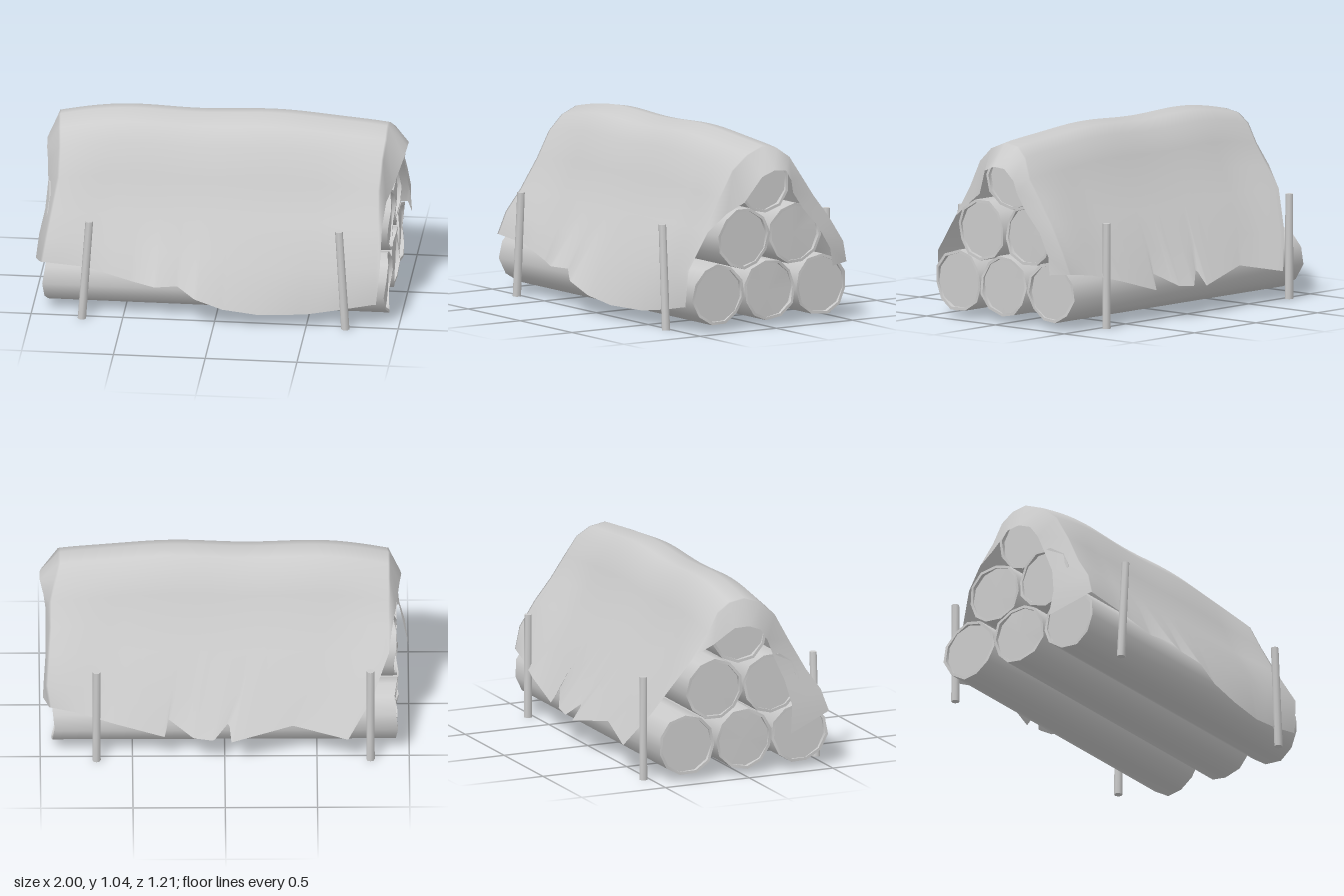
import * as THREE from 'three';
import { toCreasedNormals } from 'three/addons/utils/BufferGeometryUtils.js';

const grey = new THREE.MeshStandardMaterial({ color: 0xcccccc });
const cloth = new THREE.MeshStandardMaterial({ color: 0xcccccc, side: THREE.DoubleSide });
const { lerp, smoothstep } = THREE.MathUtils;

// Piecewise linear lookup in a list of [x, y, z] points sorted by x
function along(points, x) {
  if (x <= points[0][0]) return points[0];
  for (let i = 1; i < points.length; i++) {
    const a = points[i - 1], b = points[i];
    if (x <= b[0]) {
      const t = (x - a[0]) / (b[0] - a[0]);
      return a.map((v, k) => lerp(v, b[k], t));
    }
  }
  return points[points.length - 1];
}

// Log with a raised bark rim around a slightly sunken cut face
function makeLog(z, y, L, turn) {
  const R = 0.168, r = 0.152, d = 0.015;
  const profile = [[0, -L + d], [r, -L + d], [r, -L], [R, -L], [R, L], [r, L], [r, L - d], [0, L - d]]
    .map(([a, b]) => new THREE.Vector2(a, b));
  const geo = new THREE.LatheGeometry(profile, 11);
  const p = geo.attributes.position;
  for (let i = 0; i < p.count; i++) {
    // ragged rim
    const a = Math.atan2(p.getZ(i), p.getX(i));
    if (Math.abs(p.getY(i)) > L - 0.001) p.setY(i, p.getY(i) + 0.01 * Math.sin(3 * a + turn * 2));
  }
  geo.rotateY(turn);
  geo.rotateZ(-Math.PI / 2);
  const log = new THREE.Mesh(toCreasedNormals(geo, 0.8), grey);
  log.position.set(0, y, z);
  log.name = 'log';
  return log;
}

function makeStake(xBase, xTop, z) {
  const geo = new THREE.CylinderGeometry(0.021, 0.023, 0.575, 8);
  const p = geo.attributes.position;
  for (let i = 0; i < p.count; i++) {
    p.setX(i, p.getX(i) + lerp(xBase, xTop, p.getY(i) / 0.575 + 0.5));
  }
  const stake = new THREE.Mesh(toCreasedNormals(geo, 0.9), grey);
  stake.position.set(0, 0.2875, z);
  stake.name = 'stake';
  return stake;
}

// Hanging hems of the cover, with tears in the back one
const frontHem = [
  [-0.95, 0.31, 0.5], [-0.7, 0.29, 0.5], [-0.45, 0.23, 0.53], [-0.32, 0.22, 0.58], [-0.2, 0.22, 0.55],
  [-0.1, 0.17, 0.605], [0.05, 0.11, 0.59], [0.25, 0.08, 0.575], [0.5, 0.08, 0.54], [0.7, 0.11, 0.52], [0.9, 0.15, 0.515],
];
const backHem = [
  [-0.67, 0.17, -0.6], [-0.37, 0.23, -0.55], [-0.03, 0.16, -0.61], [-0.025, 0.25, -0.54], [0.06, 0.17, -0.605],
  [0.17, 0.18, -0.595], [0.31, 0.26, -0.52], [0.32, 0.17, -0.57], [0.6, 0.25, -0.555], [0.8, 0.3, -0.52], [0.97, 0.32, -0.49],
];
// Cover cross-section over the stack as [z, y]
const ridge = [
  [0.38, 0.55], [0.29, 0.74], [0.21, 0.905], [0.12, 0.99], [0.02, 1.03],
  [-0.07, 1.015], [-0.14, 0.965], [-0.2, 0.85], [-0.28, 0.715], [-0.37, 0.58],
];
// Per row, front hem to back hem: x of the last full column, x of the
// outer edge, and how far that edge curls in (z) and drops (y)
const ends = {
  left: {
    inner: [0.87, 0.88, 0.88, 0.88, 0.89, 0.9, 0.9, 0.9, 0.92, 0.95, 0.95, 0.96, 0.97, 0.95],
    outer: [0.88, 0.9, 0.9, 0.91, 0.94, 0.99, 1, 1, 0.98, 0.97, 0.97, 0.97, 0.98, 0.985],
    curl: [0, 0, 0, 0.1, 0.2, 0.28, 0.3, 0.1, 0.2, 0.35, 0.3, 0.2, 0.2, 0.23],
    drop: [0, 0, 0, 0.08, 0.17, 0.11, 0.12, 0.11, 0.12, 0.08, 0.06, 0.05, 0.03, 0.01],
  },
  right: {
    inner: [-0.95, -0.93, -0.91, -0.88, -0.88, -0.89, -0.9, -0.9, -0.9, -0.9, -0.89, -0.87, -0.78, -0.66],
    outer: [-1, -0.98, -0.95, -0.94, -0.945, -0.955, -0.96, -0.95, -0.94, -0.93, -0.91, -0.89, -0.8, -0.67],
    curl: [0.5, 0.42, 0.38, 0.4, 0.35, 0.25, 0.1, 0.1, 0.15, 0.1, 0, 0, 0, 0],
    drop: [0.09, 0.06, 0.04, 0.07, 0.12, 0.13, 0.14, 0.13, 0.12, 0.06, 0, 0, 0, 0],
  },
};

function coverPoint(row, x) {
  const last = ridge.length + 3;
  // the sheet hugs the logs in the middle and flares at the ends
  const hug = 1 - smoothstep(Math.abs(x), 0.55, 0.9);
  if (row < 2 || row > last - 2) {
    const hem = row < 2 ? frontHem : backHem;
    if (row === 0 || row === last) return [x, ...along(hem, x).slice(1)];
    // belly halfway down, lying along the slope of the stack
    const y = (along(hem, x - 0.15)[1] + along(hem, x + 0.15)[1]) / 4 + 0.28;
    const z = 0.375 - 0.025 * hug + (0.58 - y) * 0.573;
    return [x, y, row < 2 ? z : -z];
  }
  const [z, y] = ridge[row - 2];
  // gentle sag between high spots, sloping off towards both ends
  const wave = 0.007 * Math.cos((x - 0.27) * 7.8) - 0.07 * x ** 4;
  const pull = y < 0.8 ? 0.022 * hug * Math.sign(z) : 0;
  return [x, y + wave * smoothstep(y, 0.5, 1), z - pull];
}

function makeCover() {
  const rows = ridge.length + 4, cols = 160;
  const pos = [], index = [];
  for (let c = -1; c <= cols + 1; c++) {
    for (let r = 0; r < rows; r++) {
      const t = Math.min(1, Math.max(0, c / cols));
      const p = coverPoint(r, lerp(ends.right.inner[r], ends.left.inner[r], t));
      if (c < 0 || c > cols) {
        const e = c < 0 ? ends.right : ends.left;
        p[0] = e.outer[r];
        p[1] -= e.drop[r];
        p[2] *= 1 - e.curl[r];
      }
      pos.push(...p);
    }
  }
  for (let c = 0; c < cols + 2; c++) {
    for (let r = 0; r < rows - 1; r++) {
      const a = c * rows + r, b = a + rows;
      index.push(a, b, a + 1, b, b + 1, a + 1);
    }
  }
  const geo = new THREE.BufferGeometry();
  geo.setAttribute('position', new THREE.Float32BufferAttribute(pos, 3));
  geo.setIndex(index);
  geo.computeVertexNormals();
  const cover = new THREE.Mesh(geo, cloth);
  cover.name = 'cover';
  return cover;
}

export function createModel() {
  const model = new THREE.Group();
  model.name = 'coveredLogPile';

  // Pyramid of six logs, the top one shorter
  const logs = new THREE.Group();
  logs.name = 'logs';
  [
    [0.333, 0.203, 0.93, 0.15], [0, 0.203, 0.935, 0.9], [-0.34, 0.203, 0.93, 1.8],
    [0.165, 0.497, 0.93, 2.7], [-0.172, 0.497, 0.925, 3.6], [0, 0.785, 0.88, 4.5],
  ].forEach((spec) => logs.add(makeLog(...spec)));

  // Stakes holding the pile on both sides
  const stakes = new THREE.Group();
  stakes.name = 'stakes';
  stakes.add(
    makeStake(-0.72, -0.68, 0.53), makeStake(0.715, 0.68, 0.53),
    makeStake(-0.79, -0.79, -0.535), makeStake(0.695, 0.695, -0.535),
  );

  model.add(logs, stakes, makeCover());
  return model;
}
